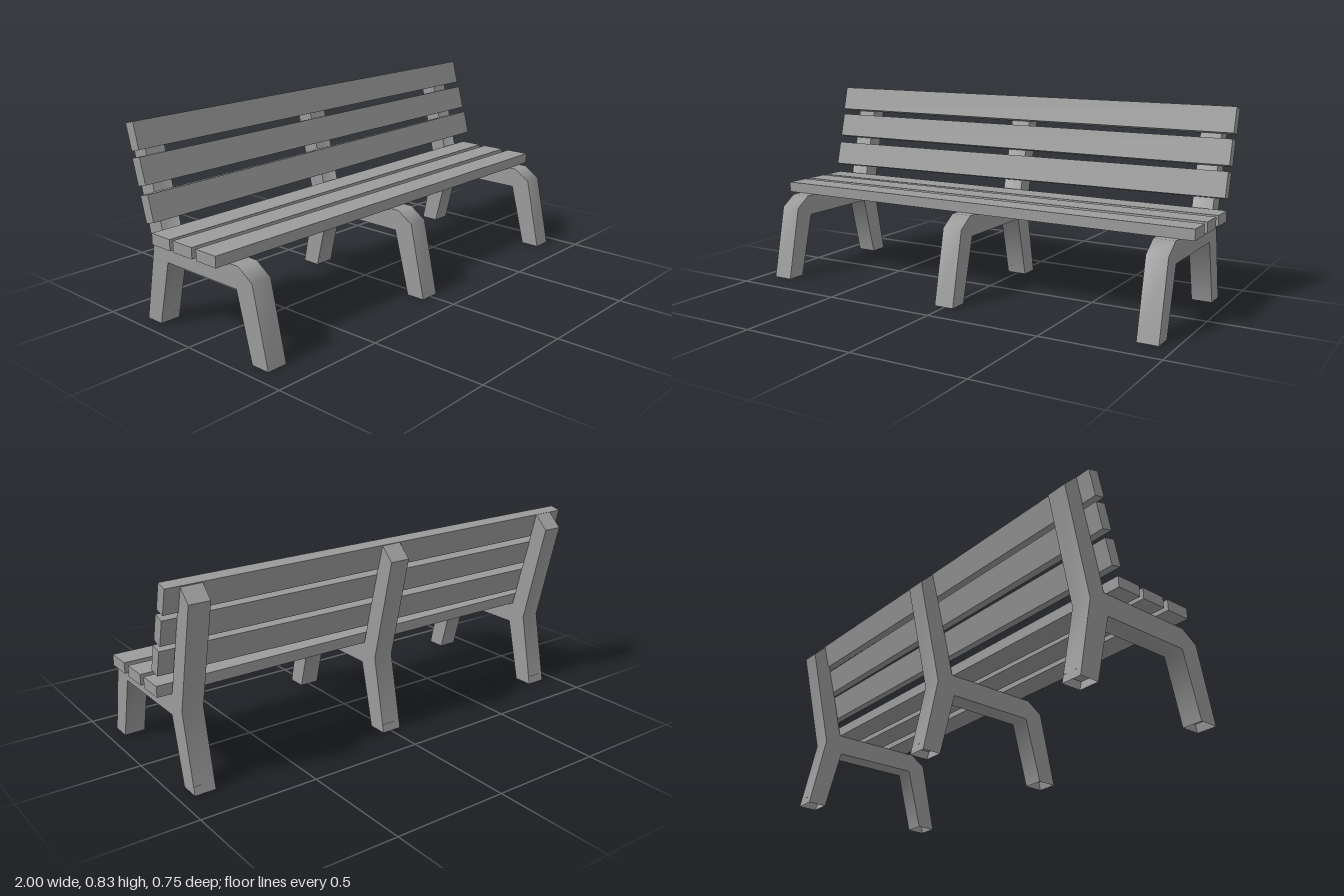
import * as THREE from 'three';
import { mergeGeometries } from 'three/addons/utils/BufferGeometryUtils.js';

const wood = new THREE.MeshStandardMaterial({ color: 0x9b9b9b });
const shell = new THREE.MeshStandardMaterial({ color: 0x9b9b9b, side: THREE.DoubleSide });

// Side outline of one frame as [z, y] points, split into runs that are each smooth along their bends
const OUTLINE = [
  [[-0.312, 0.822], [-0.2, 0.368], [0.232, 0.368], [0.304, 0.32], [0.375, 0]], // front and seat bearer
  [[0.29, 0], [0.217, 0.277], [-0.186, 0.277], [-0.255, 0]], // underside between the legs
  [[-0.34, 0], [-0.273, 0.32], [-0.374, 0.762]], // back
  [[-0.374, 0.762], [-0.312, 0.822]], // sloped top
];
// Slightly recessed soles inside the feet
const SOLES = [
  [[0.367, 0.035], [0.281, 0.035]],
  [[-0.246, 0.035], [-0.333, 0.035]],
];
const FRAME_WIDTH = 0.089;

// A band of the frame's width that follows a run of points
function makeBand(points) {
  const geometry = new THREE.PlaneGeometry(FRAME_WIDTH, 1, 1, points.length - 1);
  const p = geometry.attributes.position;
  points.forEach(([z, y], row) => {
    for (const i of [2 * row, 2 * row + 1]) p.setXYZ(i, p.getX(i), y, z);
  });
  geometry.computeVertexNormals();
  return geometry;
}

function makeFrameGeometry() {
  const corners = OUTLINE.flat().map(([z, y]) => new THREE.Vector2(z, y));
  const rightSide = new THREE.ShapeGeometry(new THREE.Shape(corners));
  rightSide.rotateY(-Math.PI / 2).translate(-FRAME_WIDTH / 2, 0, 0);
  const leftSide = rightSide.clone().scale(-1, 1, 1);
  leftSide.index.array.reverse();
  return mergeGeometries([...OUTLINE, ...SOLES].map(makeBand).concat(rightSide, leftSide));
}

// A full-length plank, leaning by tilt; its +x end is nudged by (dy, dz), its -x end the other way
function makeSlat({ name, y, z, height, depth, tilt = 0, dy = 0, dz = 0 }) {
  const geometry = new THREE.BoxGeometry(2, height, depth).rotateX(tilt);
  const p = geometry.attributes.position;
  for (let i = 0; i < p.count; i++) {
    const x = p.getX(i);
    p.setY(i, p.getY(i) + dy * x);
    p.setZ(i, p.getZ(i) + dz * x);
  }
  geometry.computeVertexNormals();
  const mesh = new THREE.Mesh(geometry, wood);
  mesh.name = name;
  mesh.position.set(0, y, z);
  return mesh;
}

export function createModel() {
  const bench = new THREE.Group();
  bench.name = 'bench';

  // Three supporting frames
  const frameGeometry = makeFrameGeometry();
  for (const [name, x] of [['rightFrame', -0.892], ['middleFrame', -0.004], ['leftFrame', 0.894]]) {
    const frame = new THREE.Mesh(frameGeometry, shell);
    frame.name = name;
    frame.position.x = x;
    bench.add(frame);
  }

  // Seat planks, laid slightly unevenly
  const seat = { y: 0.39, height: 0.046, depth: 0.11 };
  bench.add(
    makeSlat({ ...seat, name: 'frontSeatSlat', z: 0.135, dz: 0.005 }),
    makeSlat({ ...seat, name: 'middleSeatSlat', z: -0.005 }),
    makeSlat({ ...seat, name: 'rearSeatSlat', z: -0.14, dz: -0.005 }),
  );

  // Backrest planks, leaning with the uprights
  const back = { height: 0.109, depth: 0.048, tilt: -0.255 };
  bench.add(
    makeSlat({ ...back, name: 'lowerBackSlat', y: 0.51, z: -0.207, dy: 0.006, dz: 0.0015 }),
    makeSlat({ ...back, name: 'middleBackSlat', y: 0.644, z: -0.245 }),
    makeSlat({ ...back, name: 'upperBackSlat', y: 0.774, z: -0.279, dy: -0.002, dz: -0.006 }),
  );

  return bench;
}
